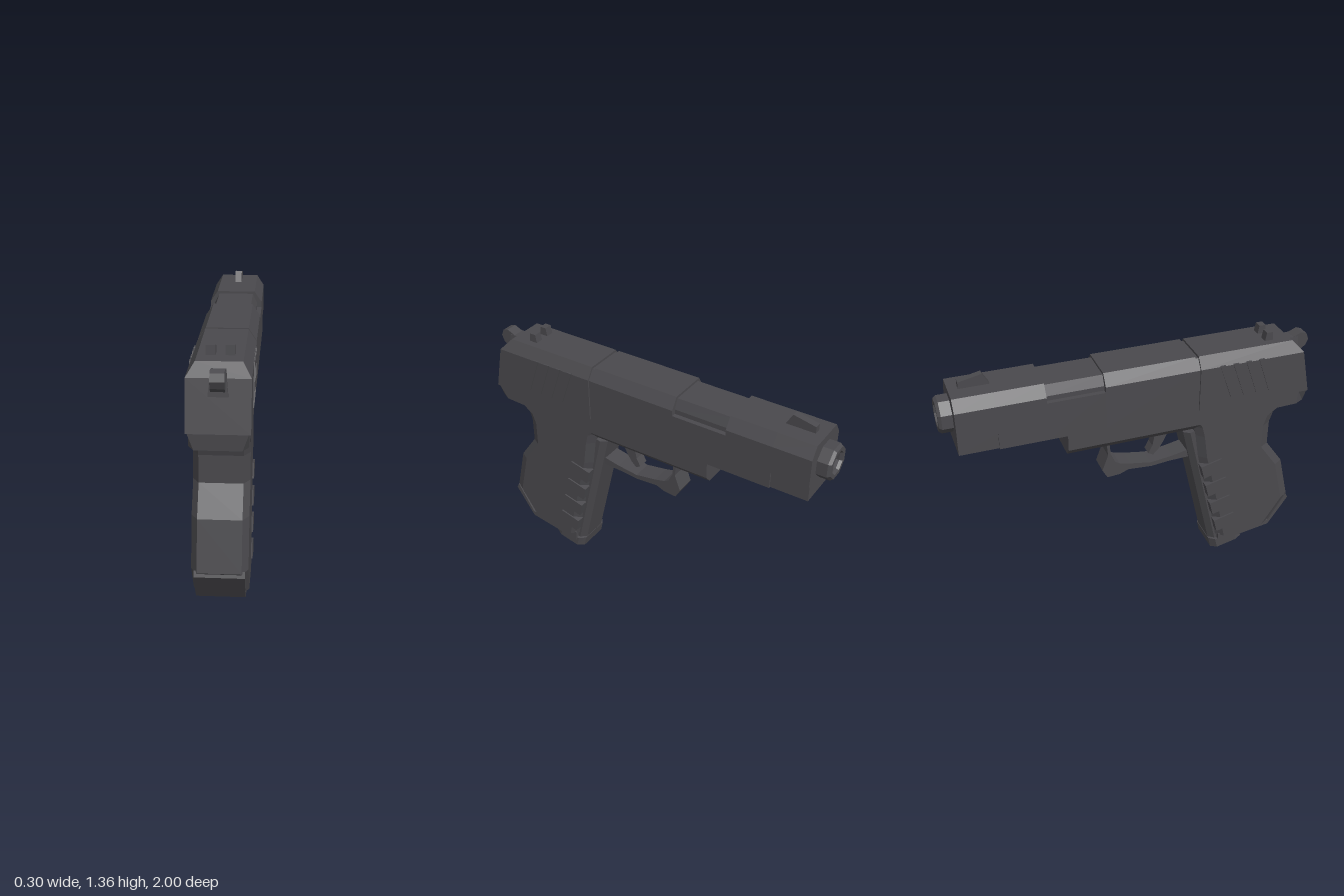
import * as THREE from 'three';

const gunmetal = new THREE.MeshStandardMaterial({ color: 0x4a494d });
gunmetal.name = 'gunmetal';

// Faceted loft: each section is the +x half of a ring, mirrored in x.
function loft(sections) {
  const rings = sections.map(half => [
    ...half.map(p => new THREE.Vector3(...p)),
    ...[...half].reverse().map(([x, y, z]) => new THREE.Vector3(-x, y, z)),
  ]);
  const n = rings[0].length;
  const tris = [];
  const quad = (a, b, c, d) => tris.push([a, b, c], [a, c, d]);
  for (let s = 0; s < rings.length - 1; s++) {
    for (let i = 0; i < n; i++) {
      const j = (i + 1) % n;
      quad(rings[s][i], rings[s][j], rings[s + 1][j], rings[s + 1][i]);
    }
  }
  // Strip caps keep bent end faces clean
  const first = rings[0], last = rings[rings.length - 1];
  for (let i = 0; i < n / 2 - 1; i++) {
    quad(first[i], first[n - 1 - i], first[n - 2 - i], first[i + 1]);
    quad(last[i], last[i + 1], last[n - 2 - i], last[n - 1 - i]);
  }
  // Turn the surface outward
  const volume = tris.reduce((v, [a, b, c]) => v + a.dot(b.clone().cross(c)), 0);
  const points = tris.flatMap(([a, b, c]) => (volume < 0 ? [a, c, b] : [a, b, c]));
  const geo = new THREE.BufferGeometry().setFromPoints(points);
  geo.computeVertexNormals();
  return geo;
}

// Constant x/y half section between two z positions
const bar = (half, z0, z1) => loft([z0, z1].map(z => half.map(([x, y]) => [x, y, z])));

// Side outline of [z, y] points, extruded across x
function prism(outline, halfWidth, x = 0) {
  const shape = new THREE.Shape(outline.map(([z, y]) => new THREE.Vector2(-z, y)));
  const geo = new THREE.ExtrudeGeometry(shape, { depth: halfWidth * 2, bevelEnabled: false });
  return geo.translate(0, 0, -halfWidth).rotateY(Math.PI / 2).translate(x, 0, 0);
}

export function createModel() {
  const model = new THREE.Group();
  model.name = 'pistol';
  const add = (name, geo) => {
    const mesh = new THREE.Mesh(geo, gunmetal);
    mesh.name = name;
    model.add(mesh);
  };

  // Slide: slanted rear, groove, middle, open port and front
  const slideHalf = [[0.145, 1], [0.145, 1.24], [0.105, 1.3]];
  const rearZ = [0.965, 0.915, 0.86];
  add('slideRear', loft([
    slideHalf.map(([x, y], i) => [x, y, rearZ[i]]),
    slideHalf.map(([x, y]) => [x, y, 0.33]),
  ]));
  add('slideGroove', bar([[0.137, 1], [0.137, 1.235], [0.1, 1.288]], 0.34, 0.3));
  add('slideMiddle', bar(slideHalf, 0.31, -0.18));
  add('slidePort', bar([[0.145, 1], [0.145, 1.21]], -0.18, -0.48));
  add('chamber', bar([[0.12, 1.2], [0.12, 1.235], [0.095, 1.287]], -0.17, -0.49));
  add('slideFront', bar(slideHalf, -0.48, -0.73));
  add('slideNose', bar([[0.145, 1.09], [0.145, 1.24], [0.105, 1.3]], -0.73, -0.93));
  add('slideNoseLower', bar([[0.137, 1.002], [0.137, 1.09]], -0.73, -0.93));

  // Slanted gripping ribs on both sides of the slide
  for (const side of [-1, 1]) {
    for (let i = 0; i < 4; i++) {
      const z = 0.435 + i * 0.073;
      add('slideRib', prism(
        [[z, 1.245], [z + 0.03, 1.245], [z + 0.1, 1.05], [z + 0.07, 1.05]], 0.005, side * 0.145));
    }
  }

  // Hollow eight-sided muzzle
  const muzzle = new THREE.LatheGeometry(
    [[0.095, 0.9], [0.095, 0.985], [0.083, 1], [0.062, 1], [0.055, 0.985], [0.055, 0.935], [0, 0.935]]
      .map(([r, y]) => new THREE.Vector2(r, y)), 8)
    .rotateY(Math.PI / 8).rotateX(-Math.PI / 2).translate(0, 1.17, 0).toNonIndexed();
  muzzle.computeVertexNormals();
  add('muzzle', muzzle);

  // Sights
  add('frontSight', prism([[-0.72, 1.29], [-0.76, 1.36], [-0.88, 1.335], [-0.88, 1.29]], 0.018));
  for (const side of [-1, 1]) {
    add('rearSight', prism([[0.77, 1.29], [0.765, 1.345], [0.73, 1.345], [0.72, 1.29]], 0.022, side * 0.044));
  }

  // Hammer
  add('hammerSpur', prism(
    [[1, 1.25], [0.985, 1.285], [0.955, 1.295], [0.86, 1.255], [0.87, 1.19], [0.95, 1.19], [0.985, 1.215]], 0.032));
  add('hammerBase', loft([
    [[0.045, 1.165, 0.925], [0.034, 1.275, 0.915]],
    [[0.045, 1.165, 0.86], [0.034, 1.275, 0.86]],
  ].map((s, i) => s.map(([x, y, z]) => [x, y, i ? z : z + 0.02]))));

  // Frame under the slide
  add('frame', bar([[0.135, 1], [0.135, 0.905], [0.1, 0.865]], 0.37, -0.38));

  // Grip body: [back z, back y, front z, front y]
  const gripRings = [
    [0.965, 1, 0.3, 1, 0.135], [0.96, 0.922, 0.3, 0.93, 0.108],
    [0.845, 0.918, 0.3, 0.92, 0.105], [0.79, 0.88, 0.32, 0.88, 0.105],
    [0.77, 0.82, 0.335, 0.82, 0.105], [0.77, 0.68, 0.355, 0.68, 0.105],
    [0.87, 0.54, 0.39, 0.54, 0.105], [0.93, 0.29, 0.45, 0.29, 0.105],
    [0.82, 0.12, 0.49, 0.1, 0.105],
  ];
  add('grip', loft(gripRings.map(([zb, yb, zf, yf, xb]) => [
    [xb, yb, zb], [0.135, yb, zb - 0.05], [0.135, yf, zf + 0.04], [0.1, yf, zf],
  ])));

  // Front strap running down the grip
  add('frontStrap', loft([[0.84, 0.275], [0.05, 0.462]].map(([y, z]) => [
    [0.1, y + 0.012, z + 0.07], [0.1, y, z + 0.03], [0.07, y - 0.005, z],
  ])));

  // Raised finger panels
  for (const side of [-1, 1]) {
    for (let i = 0; i < 4; i++) {
      const z = i * 0.0325, y = -i * 0.132;
      const panel = [[0.5, 0.585], [0.48, 0.66], [0.36, 0.63], [0.38, 0.55]];
      add('gripPanel', prism(panel.map(p => [p[0] + z, p[1] + y]), 0.022, side * 0.121));
    }
  }

  // Butt plate and magazine foot
  add('buttPlate', prism(
    [[0.92, 0.3], [0.933, 0.27], [0.82, 0.102], [0.5, 0.05], [0.5, 0.11], [0.82, 0.13]], 0.12));
  add('magazineFoot', loft([
    [[0.1, 0.045, 0.655], [0.1, 0.075, 0.645]],
    [[0.117, 0.037, 0.62], [0.117, 0.075, 0.61]],
    [[0.117, 0.01, 0.5], [0.117, 0.07, 0.485]],
    [[0.085, 0, 0.47], [0.085, 0.065, 0.455]],
  ]));

  // Trigger and guard
  add('trigger', prism(
    [[0.28, 0.88], [0.27, 0.845], [0.24, 0.825], [0.2, 0.82], [0.175, 0.77], [0.15, 0.73],
      [0.12, 0.7], [0.092, 0.715], [0.115, 0.76], [0.125, 0.81], [0.12, 0.88]], 0.03));
  add('triggerGuard', prism(
    [[0.34, 0.66], [0.2, 0.655], [0.1, 0.645], [-0.03, 0.655], [-0.08, 0.635], [-0.15, 0.63],
      [-0.178, 0.68], [-0.145, 0.77], [-0.155, 0.88], [-0.138, 0.88], [-0.13, 0.77], [-0.105, 0.72],
      [-0.08, 0.705], [-0.02, 0.69], [0.1, 0.67], [0.22, 0.685], [0.34, 0.71]], 0.055));

  return model;
}
